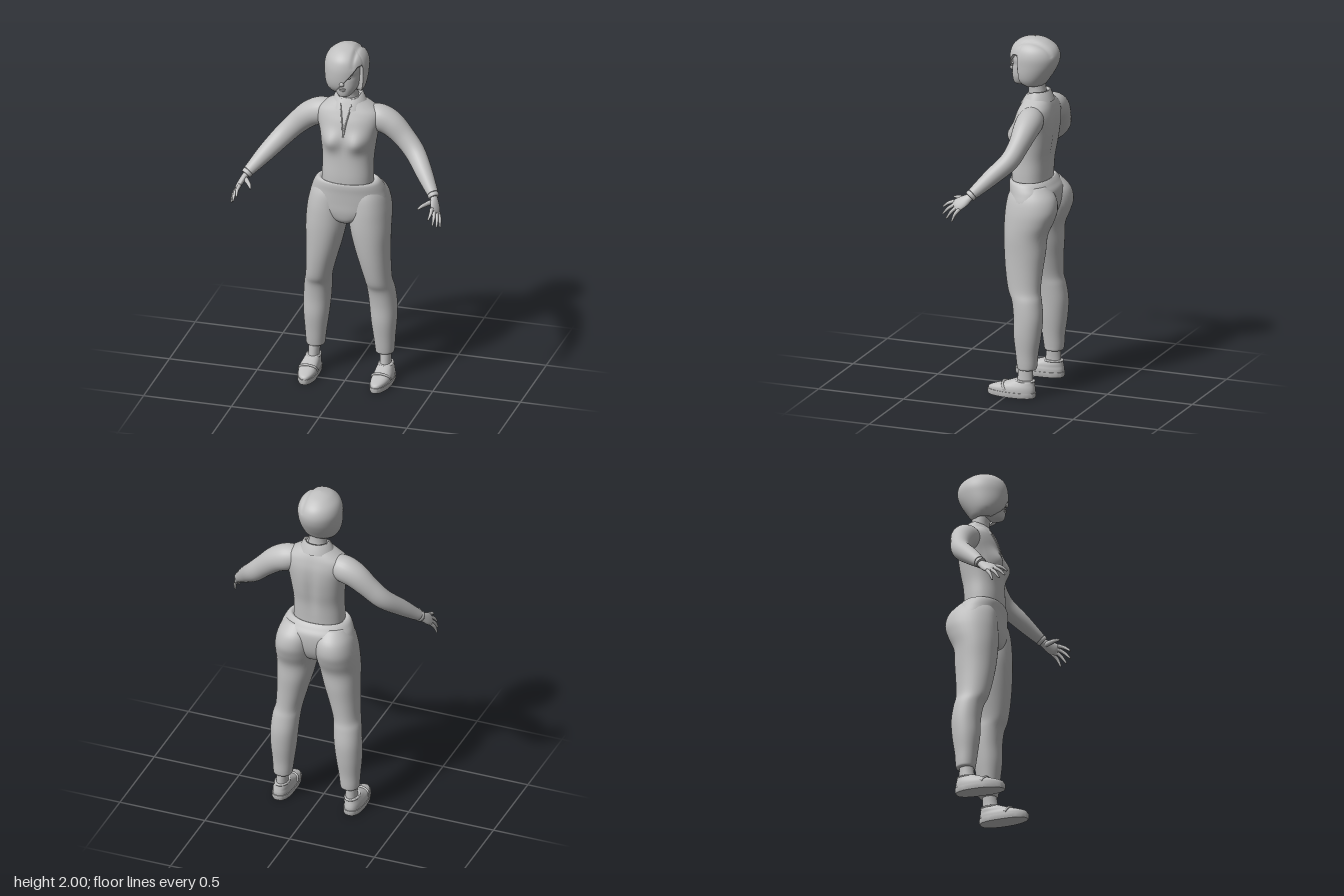
import * as THREE from 'three';
import { toCreasedNormals } from 'three/addons/utils/BufferGeometryUtils.js';

const V = (x, y, z) => new THREE.Vector3(x, y, z);
const clay = new THREE.MeshStandardMaterial({ color: 0xc0c0c0, side: THREE.DoubleSide });
clay.name = 'light grey';

// Catmull-Rom resampling of rows of numbers
function smooth(rows, steps) {
  const out = [], at = i => rows[Math.max(0, Math.min(rows.length - 1, i))];
  for (let i = 0; i < rows.length - 1; i++)
    for (let s = 0; s < steps; s++) {
      const t = s / steps, [a, b, c, d] = [at(i - 1), at(i), at(i + 1), at(i + 2)];
      out.push(b.map((p, k) => 0.5 * (2 * p + (c[k] - a[k]) * t +
        (2 * a[k] - 5 * p + 4 * c[k] - d[k]) * t * t + (3 * p - a[k] - 3 * c[k] + d[k]) * t * t * t)));
    }
  out.push(rows[rows.length - 1]);
  return out;
}

// Skin over rings of points, with optional wrap and end caps
function skin(rings, closed = true, caps = closed) {
  const n = rings[0].length, pts = rings.flat(), idx = [], cols = closed ? n : n - 1;
  for (let i = 0; i < rings.length - 1; i++)
    for (let j = 0; j < cols; j++) {
      const k = (j + 1) % n, a = i * n + j, b = i * n + k;
      idx.push(a, b, b + n, a, b + n, a + n);
    }
  if (caps) [0, rings.length - 1].forEach((r, end) => {
    const c = pts.length;
    pts.push(rings[r].reduce((s, p) => s.add(p), V(0, 0, 0)).divideScalar(n));
    for (let j = 0; j < n; j++) {
      const a = r * n + j, b = r * n + (j + 1) % n;
      end ? idx.push(a, b, c) : idx.push(b, a, c);
    }
  });
  const g = new THREE.BufferGeometry().setFromPoints(pts);
  g.setIndex(idx);
  g.computeVertexNormals();
  return g;
}

// Horizontal slices, listed upwards: [y, centre x, half width, front z, back z]
function stack(rows, { n = 40, steps = 5, power = 1, rule = p => p } = {}) {
  const bend = v => Math.sign(v) * Math.abs(v) ** power;
  return skin(smooth(rows, steps).map(([y, cx, w, zf, zb]) => Array.from({ length: n }, (_, j) => {
    const a = j / n * Math.PI * 2;
    return rule(V(cx + w * bend(Math.sin(a)), y, (zf + zb) / 2 + (zf - zb) / 2 * bend(Math.cos(a))));
  })));
}

// Slices across a path: [x, y, z, thickness radius, radius along ref]
function limb(rows, ref, n = 24, steps = 5) {
  const r = smooth(rows, steps), p = r.map(q => V(q[0], q[1], q[2]));
  return skin(r.map((q, i) => {
    const t = p[Math.min(i + 1, p.length - 1)].clone().sub(p[Math.max(i - 1, 0)]).normalize();
    const e1 = t.clone().cross(ref).normalize(), e2 = e1.clone().cross(t);
    return Array.from({ length: n }, (_, j) => {
      const a = j / n * Math.PI * 2;
      return p[i].clone().addScaledVector(e1, Math.sin(a) * q[3]).addScaledVector(e2, Math.cos(a) * q[4]);
    });
  }));
}

const cord = (pts, r) => new THREE.TubeGeometry(new THREE.CatmullRomCurve3(pts), 24, r, 8);
const ball = (x, y, z, a, b, c) => new THREE.SphereGeometry(1, 20, 14).scale(a, b, c).translate(x, y, z);

function mirrored(g) {
  const m = g.clone().scale(-1, 1, 1);
  if (!m.index) m.setIndex([...Array(m.attributes.position.count).keys()]);
  m.index.array.reverse();
  return m;
}

export function createModel() {
  const model = new THREE.Group();
  model.name = 'standingWoman';
  const add = (name, g) => {
    const m = new THREE.Mesh(g, clay);
    m.name = name;
    model.add(m);
  };
  const pair = (name, g) => { add(name + 'Left', g); add(name + 'Right', mirrored(g)); };
  const hump = (p, x, y, rx, ry) => Math.exp(-(((Math.abs(p.x) - x) / rx) ** 2) - ((p.y - y) / ry) ** 2);

  // Shirt body, with bust and a shallow spine groove
  add('shirt', stack([
    [1.185, 0, 0.143, 0.045, -0.165], [1.24, 0, 0.143, 0.045, -0.168], [1.32, 0, 0.142, 0.04, -0.175],
    [1.4, 0, 0.15, 0.036, -0.19], [1.48, 0, 0.163, 0.034, -0.2], [1.55, 0, 0.18, 0.02, -0.2],
    [1.6, 0, 0.178, 0, -0.19], [1.635, 0, 0.135, -0.016, -0.178], [1.665, 0, 0.085, -0.03, -0.162],
    [1.685, 0, 0.062, -0.04, -0.15]], {
    n: 64, power: 0.88, rule: p => {
      if (p.z > -0.03) p.z += 0.034 * hump(p, 0.075, 1.445, 0.055, 0.055);
      else if (p.z < -0.1) p.z += 0.012 * hump(p, 0, 1.42, 0.03, 0.16);
      return p;
    } }));

  // Folded collar, open at the front, and the neckline edges
  const collarRows = [[0.058, 1.675], [0.064, 1.7], [0.076, 1.7], [0.1, 1.645]];
  add('collar', skin(collarRows.map(([r, y], k) => Array.from({ length: 41 }, (_, j) => {
    const a = 0.3 + j / 40 * (Math.PI * 2 - 0.6), front = Math.max(0, Math.cos(a));
    return V(r * Math.sin(a), y - 0.025 * front, -0.095 + r * 0.86 * Math.cos(a) + (k === 3 ? 0.012 * front : 0));
  })).reverse(), false));
  pair('necklineEdge', cord([V(0.032, 1.655, -0.024), V(0.018, 1.59, 0.006), V(0.007, 1.53, 0.026), V(0.001, 1.47, 0.037)], 0.004));

  // Sleeve, from inside the shoulder to the wrist
  pair('sleeve', limb([
    [0.1, 1.575, -0.105, 0.06, 0.06], [0.165, 1.56, -0.11, 0.076, 0.074], [0.235, 1.528, -0.11, 0.072, 0.069],
    [0.31, 1.462, -0.1, 0.062, 0.056], [0.38, 1.39, -0.072, 0.057, 0.052], [0.45, 1.315, 0, 0.048, 0.046],
    [0.505, 1.253, 0.06, 0.036, 0.036], [0.526, 1.23, 0.083, 0.031, 0.031]], V(0, 0, 1), 28, 6));

  // Hand, wrist band and fingers
  const across = V(0.45, -0.59, -0.67);
  pair('palm', limb([[0.515, 1.242, 0.07, 0.02, 0.022], [0.534, 1.216, 0.092, 0.018, 0.022],
    [0.552, 1.187, 0.13, 0.016, 0.035], [0.562, 1.166, 0.162, 0.013, 0.037], [0.565, 1.157, 0.174, 0.007, 0.03]], across, 20));
  pair('wristBand', limb([[0.524, 1.231, 0.082, 0.029, 0.03], [0.53, 1.223, 0.089, 0.031, 0.032],
    [0.536, 1.215, 0.096, 0.028, 0.029]], across, 24));
  const tips = [[0.545, 1.145, 0.247], [0.568, 1.112, 0.24], [0.584, 1.092, 0.213], [0.594, 1.08, 0.178]];
  tips.forEach((tip, i) => {
    const k = V(0.56, 1.168, 0.16).addScaledVector(across, (i - 1.5) * 0.019);
    const m = k.clone().lerp(V(...tip), 0.5).add(V(0.005, 0.005, 0.003));
    pair('finger' + (i + 1), limb([[k.x, k.y, k.z, 0.011, 0.011], [m.x, m.y, m.z, 0.009, 0.009],
      [...tip, 0.005, 0.005]], across, 12));
  });
  pair('thumb', limb([[0.542, 1.2, 0.108, 0.014, 0.016], [0.514, 1.197, 0.145, 0.012, 0.013],
    [0.492, 1.193, 0.18, 0.01, 0.01], [0.477, 1.186, 0.21, 0.005, 0.005]], across, 12));

  // Trousers: hips with a rolled waist, then the legs
  add('hips', stack([[0.945, 0, 0.03, 0.0, -0.13], [0.97, 0, 0.1, 0.03, -0.17], [1.02, 0, 0.19, 0.044, -0.2],
    [1.08, 0, 0.218, 0.047, -0.215], [1.14, 0, 0.205, 0.05, -0.215], [1.175, 0, 0.19, 0.053, -0.195],
    [1.195, 0, 0.176, 0.052, -0.18], [1.202, 0, 0.158, 0.046, -0.17], [1.19, 0, 0.14, 0.03, -0.155]], { n: 56, power: 0.92 }));
  pair('trouserLeg', stack([
    [0.155, 0.197, 0.036, -0.065, -0.145], [0.16, 0.197, 0.05, -0.055, -0.158], [0.185, 0.197, 0.054, -0.05, -0.163],
    [0.25, 0.195, 0.06, -0.042, -0.168], [0.35, 0.192, 0.071, -0.03, -0.183], [0.45, 0.187, 0.076, -0.028, -0.19],
    [0.54, 0.179, 0.076, -0.015, -0.18], [0.6, 0.169, 0.073, 0.012, -0.17], [0.7, 0.153, 0.084, 0.032, -0.175],
    [0.8, 0.138, 0.098, 0.044, -0.185], [0.9, 0.127, 0.111, 0.05, -0.192], [0.98, 0.121, 0.116, 0.05, -0.225],
    [1.05, 0.117, 0.113, 0.046, -0.246], [1.12, 0.108, 0.103, 0.035, -0.232], [1.18, 0.1, 0.075, 0.01, -0.175]], { power: 0.94 }));
  pair('ankle', stack([[0.06, 0.205, 0.034, -0.045, -0.145], [0.11, 0.204, 0.031, -0.055, -0.142],
    [0.19, 0.2, 0.034, -0.065, -0.14]], { n: 24 }));

  // Slip-on shoe: sole, upper, strap and collar rim; the toe narrows
  const toe = p => {
    const t = Math.max(0, (p.z + 0.02) / 0.14);
    p.x = 0.21 + (p.x - 0.21) * (1 - 0.22 * t * t) - 0.008 * t;
    return p;
  };
  pair('shoeSole', toCreasedNormals(stack([[0, 0.21, 0.053, 0.118, -0.157], [0.008, 0.21, 0.056, 0.122, -0.161],
    [0.03, 0.21, 0.056, 0.122, -0.161]], { power: 0.75, steps: 1, rule: toe }), 0.8));
  pair('shoeUpper', stack([[0.028, 0.21, 0.053, 0.118, -0.157], [0.045, 0.21, 0.053, 0.112, -0.158],
    [0.06, 0.21, 0.05, 0.075, -0.156], [0.075, 0.208, 0.046, 0.025, -0.153], [0.09, 0.207, 0.04, -0.015, -0.15],
    [0.098, 0.206, 0.034, -0.035, -0.146]], { power: 0.8, rule: toe }));
  pair('shoeStrap', cord([V(0.156, 0.04, 0.0), V(0.165, 0.066, 0.018), V(0.207, 0.079, 0.026),
    V(0.248, 0.066, 0.018), V(0.26, 0.04, 0.0)], 0.007));
  pair('shoeRim', new THREE.TorusGeometry(0.043, 0.006, 8, 32).rotateX(Math.PI / 2)
    .scale(0.88, 1, 1.3).translate(0.206, 0.093, -0.093));

  // Neck, head and face
  add('neck', stack([[1.64, 0, 0.062, -0.035, -0.15], [1.69, 0, 0.05, -0.04, -0.138],
    [1.74, 0, 0.05, -0.03, -0.135], [1.79, 0, 0.055, -0.02, -0.14]], { n: 28 }));
  add('head', stack([[1.722, 0, 0.018, 0.034, -0.01], [1.73, 0, 0.036, 0.046, -0.04], [1.75, 0, 0.055, 0.052, -0.09],
    [1.78, 0, 0.071, 0.055, -0.13], [1.82, 0, 0.08, 0.053, -0.16], [1.845, 0, 0.083, 0.05, -0.17],
    [1.88, 0, 0.085, 0.056, -0.17], [1.93, 0, 0.075, 0.035, -0.15], [1.96, 0, 0.04, 0, -0.11]], { power: 0.93 }));
  add('nose', limb([[0, 1.85, 0.046, 0.008, 0.008], [0, 1.825, 0.057, 0.009, 0.009], [0, 1.808, 0.063, 0.014, 0.01],
    [0, 1.799, 0.056, 0.01, 0.006]], V(0, 0, 1), 16));
  pair('eye', ball(0.034, 1.845, 0.042, 0.014, 0.007, 0.009));
  pair('eyebrow', cord([V(0.015, 1.864, 0.052), V(0.035, 1.869, 0.049), V(0.056, 1.863, 0.036)], 0.004));
  add('upperLip', ball(0, 1.779, 0.053, 0.02, 0.005, 0.009));
  add('lowerLip', ball(0, 1.769, 0.051, 0.016, 0.006, 0.009));

  // Bobbed hair: a shell whose lower edge sweeps diagonally across the face
  const shape = smooth([[1.73, 0.085, 0.01, -0.13], [1.76, 0.105, 0.045, -0.15], [1.8, 0.116, 0.063, -0.177],
    [1.85, 0.121, 0.07, -0.203], [1.9, 0.121, 0.068, -0.212], [1.945, 0.105, 0.052, -0.195],
    [1.98, 0.068, 0.012, -0.15], [1.995, 0.033, -0.035, -0.105], [2, 0.002, -0.068, -0.072]], 8);
  const sample = y => {
    const i = Math.max(1, shape.findIndex(r => r[0] >= y - 1e-6)), [a, b] = [shape[i - 1], shape[i]];
    const t = Math.min(1, Math.max(0, (y - a[0]) / (b[0] - a[0])));
    return a.map((v, k) => v + (b[k] - v) * t);
  };
  const edge = [[-180, 1.735], [-60, 1.73], [-30, 1.735], [-16, 1.76], [46, 1.905], [62, 1.91], [70, 1.745], [90, 1.73], [180, 1.735]];
  const edgeAt = d => {
    const i = Math.max(1, edge.findIndex(e => e[0] >= d)), [a, b] = [edge[i - 1], edge[i]];
    return a[1] + (b[1] - a[1]) * (d - a[0]) / (b[0] - a[0]);
  };
  const hairRings = [];
  for (let k = -1; k <= 28; k++)
    hairRings.push(Array.from({ length: 120 }, (_, j) => {
      const d = -180 + j * 3, a = d * Math.PI / 180, low = edgeAt(d);
      const y = low + (2 - low) * Math.sin(Math.max(0, k) / 28 * Math.PI / 2);
      const [, w, zf, zb] = sample(y), f = k < 0 ? 0.7 : 1;
      const p = V(w * f * Math.sin(a) - 0.008, y, (zf + zb) / 2 + (zf - zb) / 2 * f * Math.cos(a));
      // parting groove along the crown
      if (y > 1.9) p.y -= 0.009 * Math.exp(-(((p.x - 0.055) / 0.012) ** 2));
      return p;
    }));
  add('hair', skin(hairRings, true, false));
  return model;
}
